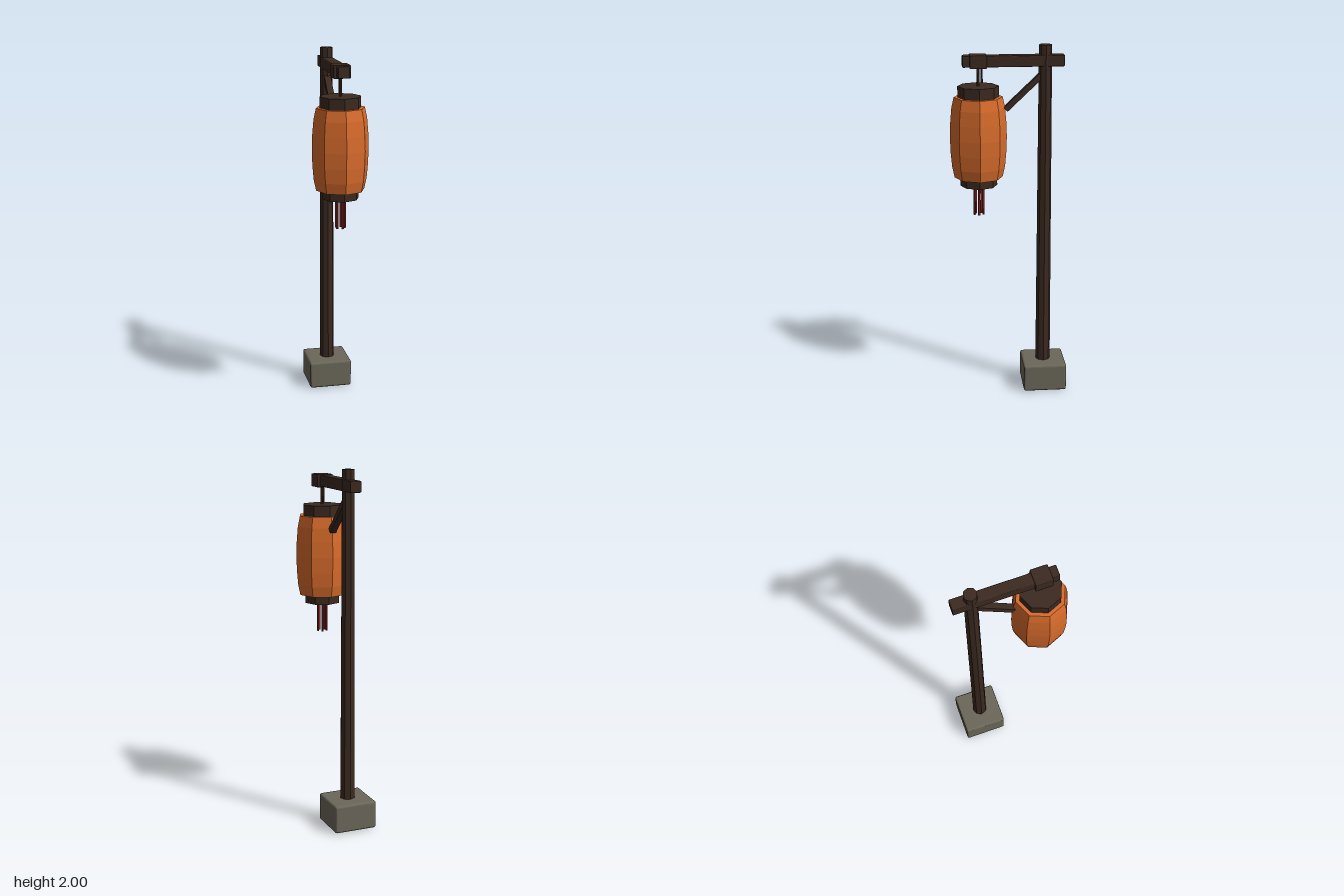
import * as THREE from 'three';
import { RoundedBoxGeometry } from 'three/addons/geometries/RoundedBoxGeometry.js';

const flat = (name, color) => {
  const m = new THREE.MeshStandardMaterial({ color });
  m.name = name;
  m.flatShading = true;
  return m;
};

export function createModel() {
  const wood = flat('dark wood', 0x3b2a20);
  const stone = flat('grey stone', 0x6b6759);
  const paper = flat('orange paper', 0xd96c2c);
  const red = flat('red cord', 0x8c2b25);

  const POST_Z = -0.2, LAMP_Z = 0.167;
  const model = new THREE.Group();
  model.name = 'lanternPost';

  const add = (name, geometry, material, x, y, z, parent = model) => {
    const mesh = new THREE.Mesh(geometry, material);
    mesh.name = name;
    mesh.position.set(x, y, z);
    parent.add(mesh);
    return mesh;
  };
  const box = (w, h, d, r) => new RoundedBoxGeometry(w, h, d, 2, r);
  // Upright prism between two heights
  const rod = (name, rTop, rBottom, y0, y1, sides, material, x, z, parent) =>
    add(name, new THREE.CylinderGeometry(rTop, rBottom, y1 - y0, sides), material, x, (y0 + y1) / 2, z, parent);

  // Footing and tapered post
  add('stoneBase', box(0.246, 0.158, 0.246, 0.012), stone, 0, 0.083, POST_Z - 0.002);
  rod('post', 0.036, 0.043, 0, 2, 8, wood, 0, POST_Z);

  // Cross arm with its end block
  add('arm', box(0.064, 0.062, 0.556, 0.006), wood, 0, 1.915, -0.025);
  add('armBlock', box(0.094, 0.072, 0.094, 0.006), wood, 0, 1.914, LAMP_Z);

  // Diagonal brace from the post towards the lantern
  const from = new THREE.Vector3(0, 1.845, -0.19), to = new THREE.Vector3(0, 1.648, 0.018);
  const brace = add('brace', new THREE.BoxGeometry(0.036, 0.03, from.distanceTo(to)), wood, 0, 0, 0);
  brace.position.copy(from).lerp(to, 0.5);
  brace.lookAt(to);

  // Lantern: bulging eight-sided paper body between two wooden caps
  const lantern = new THREE.Group();
  lantern.name = 'lantern';
  lantern.position.z = LAMP_Z;
  model.add(lantern);
  const profile = [
    [0.09, 1.27], [0.134, 1.27], [0.147, 1.33], [0.154, 1.41], [0.157, 1.495],
    [0.154, 1.58], [0.147, 1.66], [0.134, 1.72], [0.09, 1.72],
  ].map(([r, y]) => new THREE.Vector2(r, y));
  add('paperBody', new THREE.LatheGeometry(profile, 8), paper, 0, 0, 0, lantern);
  rod('topCap', 0.113, 0.113, 1.715, 1.78, 8, wood, 0, 0, lantern);
  rod('bottomCap', 0.103, 0.103, 1.222, 1.275, 8, wood, 0, 0, lantern);

  // Hanger
  rod('hanger', 0.008, 0.008, 1.775, 1.885, 6, wood, 0, 0, lantern);
  rod('hangerHook', 0.006, 0.006, 1.795, 1.885, 6, wood, 0, -0.02, lantern);

  // Ring of tassel cords
  for (let i = 0; i < 5; i++) {
    const a = (i / 5) * Math.PI * 2;
    rod('tasselCord', 0.0065, 0.0065, 1.053, 1.225, 5, red, Math.cos(a) * 0.026, Math.sin(a) * 0.026, lantern);
  }
  return model;
}
